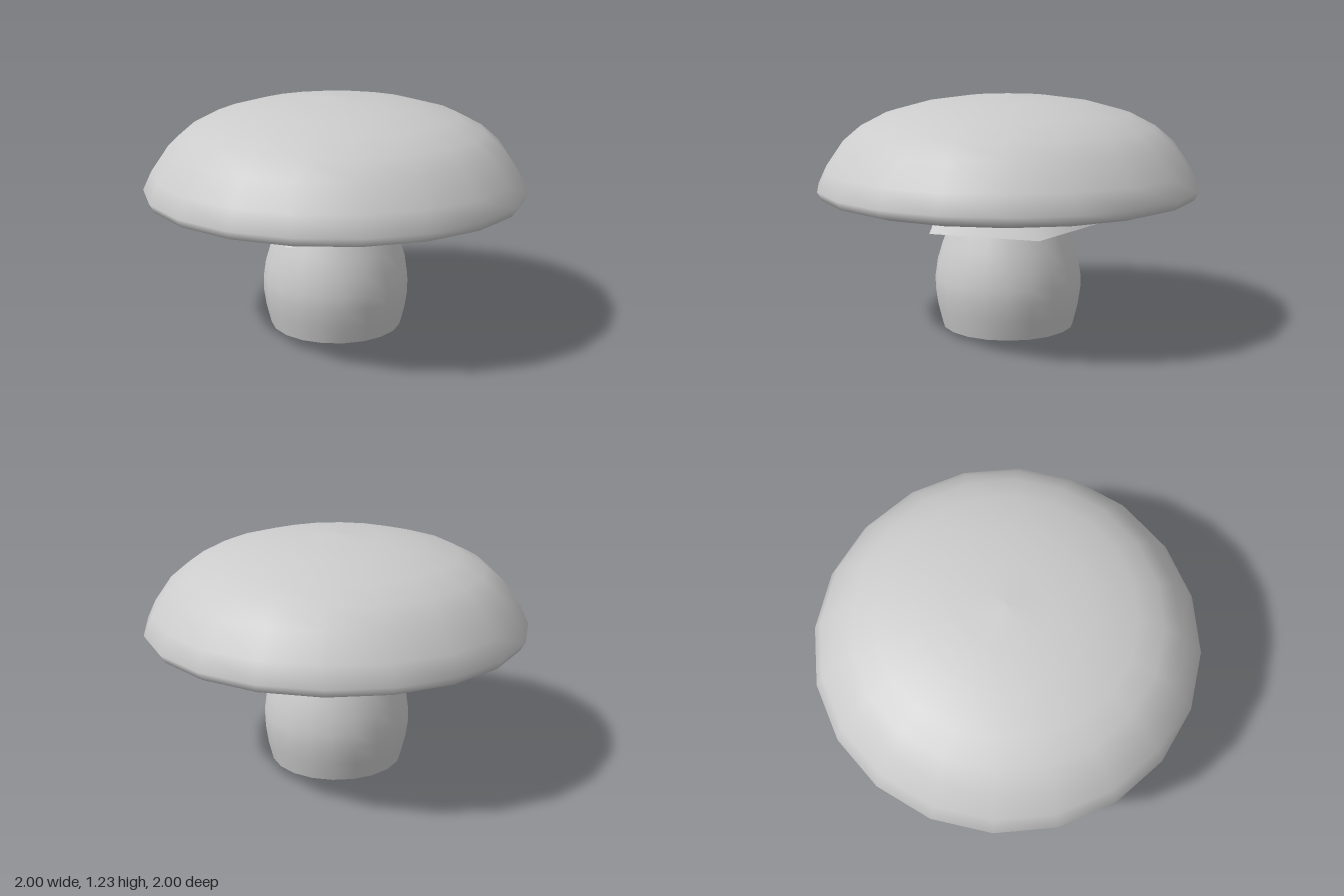
import * as THREE from 'three';

const material = new THREE.MeshStandardMaterial({ color: 0xcccccc, side: THREE.DoubleSide });

// Smooth turned part from a profile of [radius, height] pairs, listed bottom to top
function turned(name, profile, sides) {
  const points = profile.map(([r, y]) => new THREE.Vector2(r, y));
  const mesh = new THREE.Mesh(new THREE.LatheGeometry(points, sides), material);
  mesh.name = name;
  return mesh;
}

export function createModel() {
  const mushroom = new THREE.Group();
  mushroom.name = 'mushroom';

  // Bulging stem, open at the foot
  mushroom.add(turned('stem', [
    [0.35, 0], [0.375, 0.1], [0.388, 0.19], [0.388, 0.26], [0.375, 0.35],
    [0.348, 0.44], [0.31, 0.54], [0.26, 0.66], [0.2, 0.8],
  ], 20));

  // Five-sided flared skirt with one corner at the front
  mushroom.add(turned('skirt', [[0.49, 0.54], [0.33, 0.69], [0.21, 0.8]], 5));

  // Domed cap with a rolled rim and a hollowed underside
  mushroom.add(turned('cap', [
    [0, 0.8], [0.25, 0.78], [0.45, 0.735], [0.65, 0.7], [0.82, 0.688],
    [0.92, 0.695], [0.975, 0.712], [1, 0.755], [0.955, 0.85], [0.865, 0.98],
    [0.77, 1.06], [0.635, 1.13], [0.43, 1.185], [0.23, 1.212], [0, 1.225],
  ], 20));

  return mushroom;
}
